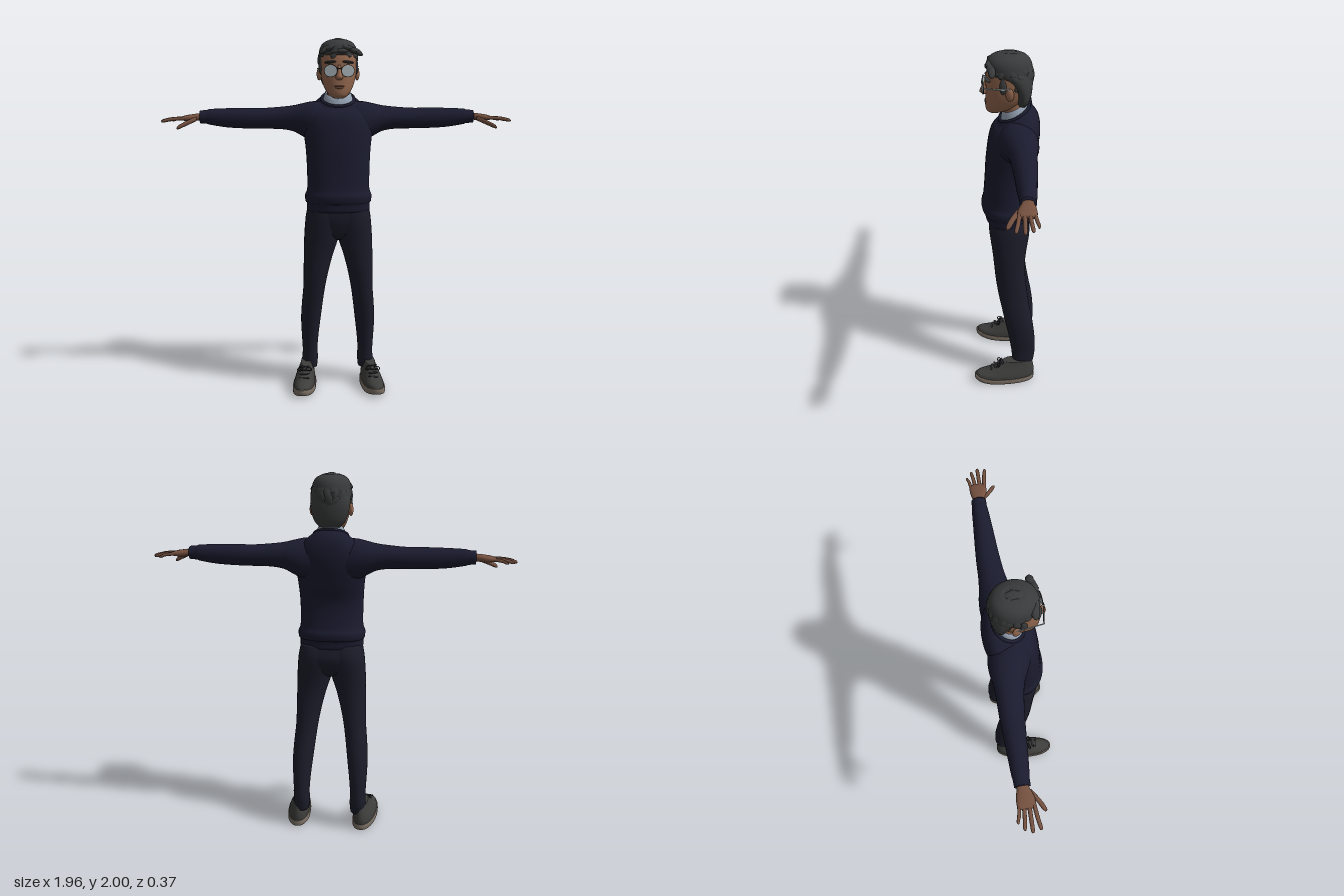
import * as THREE from 'three';

const mat = (name, color) => Object.assign(new THREE.MeshStandardMaterial({ color }), { name });

// Catmull-Rom blend of four numbers
const blend = (a, b, c, d, t) =>
  0.5 * (2 * b + (c - a) * t + (2 * a - 5 * b + 4 * c - d) * t * t + (3 * b - a - 3 * c + d) * t * t * t);

// Smooth closed body through oval cross-sections.
// key = [u, a0, a1, b0, b1, tilt]: position along the axis, bounds of the oval, slope of the ring along b
function loft(keys, map, { power = 2, sides = 28, steps = 4, caps = true } = {}) {
  const rings = [];
  const at = (i) => keys[Math.min(Math.max(i, 0), keys.length - 1)];
  for (let i = 0; i < keys.length - 1; i++) {
    for (let k = 0; k < steps; k++) {
      rings.push(at(i).map((_, j) => blend(at(i - 1)[j], at(i)[j], at(i + 1)[j], at(i + 2)[j], k / steps)));
    }
  }
  rings.push(at(keys.length - 1));
  const pos = [], index = [];
  const bulge = (v) => Math.sign(v) * Math.abs(v) ** (2 / power);
  for (const [u, a0, a1, b0, b1, tilt = 0] of rings) {
    for (let j = 0; j < sides; j++) {
      const t = (j / sides) * Math.PI * 2;
      const db = bulge(Math.sin(t)) * (b1 - b0) / 2;
      pos.push(...map(u + tilt * db, (a0 + a1) / 2 + bulge(Math.cos(t)) * (a1 - a0) / 2, (b0 + b1) / 2 + db));
    }
  }
  for (let i = 0; i < rings.length - 1; i++) {
    for (let j = 0; j < sides; j++) {
      const a = i * sides + j, b = i * sides + (j + 1) % sides;
      index.push(a, b, a + sides, b, b + sides, a + sides);
    }
  }
  if (caps) {
    [0, rings.length - 1].forEach((r, end) => {
      const [u, a0, a1, b0, b1] = rings[r], c = pos.length / 3;
      pos.push(...map(u, (a0 + a1) / 2, (b0 + b1) / 2));
      for (let j = 0; j < sides; j++) {
        const a = r * sides + j, b = r * sides + (j + 1) % sides;
        index.push(...(end ? [c, a, b] : [c, b, a]));
      }
    });
  }
  // turn the faces outwards if the axis mapping mirrored them
  const p = (i) => new THREE.Vector3().fromArray(pos, i * 3);
  const origin = p(0);
  let volume = 0;
  for (let i = 0; i < index.length; i += 3) {
    const [a, b, c] = [0, 1, 2].map((k) => p(index[i + k]).sub(origin));
    volume += a.dot(b.cross(c));
  }
  if (volume < 0) index.reverse();
  const geo = new THREE.BufferGeometry();
  geo.setAttribute('position', new THREE.Float32BufferAttribute(pos, 3));
  geo.setIndex(index);
  geo.computeVertexNormals();
  return geo;
}

export function createModel() {
  const model = new THREE.Group();
  model.name = 'standingMan';
  const sweater = mat('navySweater', 0x1a1b2e), trousers = mat('darkTrousers', 0x1c1c2a);
  const skin = mat('faceSkin', 0x92674e), handSkin = mat('handSkin', 0x74503f);
  const hair = mat('charcoalHair', 0x393a3b), shirt = mat('paleBlueShirt', 0x97a3b5);
  const lens = mat('paleLens', 0xaab5b9), shoe = mat('greyShoe', 0x3d3d3c);
  const sole = mat('taupeSole', 0x7a6f64), dark = mat('darkTrim', 0x25252a);
  shirt.side = THREE.DoubleSide;

  const add = (name, geo, material, x = 0, y = 0, z = 0, parent = model) => {
    const m = new THREE.Mesh(geo, material);
    m.name = name;
    m.position.set(x, y, z);
    parent.add(m);
    return m;
  };
  const ball = (name, material, p, size, parent = model) => {
    const m = add(name, new THREE.SphereGeometry(1, 14, 10), material, ...p, parent);
    m.scale.set(...size);
    return m;
  };
  const upright = (y, x, z) => [x, y, z];
  const sym = (rows) => rows.map(([y, w, z0, z1, tilt = 0]) => [y, -w, w, z0, z1, tilt]);

  // Sweater body, with the waistband and the blouse above it
  add('sweaterBody', loft(sym([
    [1.05, 0.168, -0.118, 0.1], [1.058, 0.176, -0.128, 0.11], [1.095, 0.177, -0.13, 0.114],
    [1.105, 0.184, -0.146, 0.126], [1.14, 0.186, -0.15, 0.132], [1.18, 0.174, -0.135, 0.122],
    [1.3, 0.175, -0.123, 0.112], [1.4, 0.181, -0.15, 0.106], [1.5, 0.192, -0.174, 0.094],
    [1.57, 0.185, -0.183, 0.08, -0.05], [1.62, 0.155, -0.175, 0.06, -0.2],
    [1.65, 0.118, -0.15, 0.042, -0.4], [1.668, 0.09, -0.122, 0.028, -0.5]]), upright, { power: 2.25, sides: 40 }), sweater);
  const neckline = [];
  for (let i = 0; i < 24; i++) {
    const t = (i / 24) * Math.PI * 2, z = Math.sin(t) * 0.076;
    neckline.push(new THREE.Vector3(Math.cos(t) * 0.09, 1.668 - z * 0.5, z - 0.047));
  }
  add('sweaterNeckband', new THREE.TubeGeometry(new THREE.CatmullRomCurve3(neckline, true), 48, 0.009, 8, true), sweater);

  // Shirt collar with two folded points
  add('shirtCollar', loft(sym([[1.66, 0.084, -0.117, 0.026, -0.5], [1.69, 0.076, -0.112, 0.02, -0.5],
    [1.707, 0.068, -0.105, 0.012, -0.5]]), upright, { caps: false }), shirt);
  const flap = new THREE.Shape([[0.004, 0.03], [0.05, 0.045], [0.054, 0.012], [0.03, -0.008]].map((q) => new THREE.Vector2(...q)));
  for (const s of [1, -1]) {
    const f = add(s > 0 ? 'leftCollarPoint' : 'rightCollarPoint', new THREE.ShapeGeometry(flap), shirt, 0, 1.642, 0.031);
    f.rotation.set(-0.35, s > 0 ? 0.45 : Math.PI - 0.45, 0, 'YXZ');
    if (s < 0) f.rotation.x = 0.35;
  }

  // Neck and head
  add('neck', loft(sym([[1.6, 0.062, -0.1, 0.005], [1.7, 0.06, -0.1, 0.01], [1.78, 0.06, -0.105, 0.02]]), upright), skin);
  add('head', loft(sym([
    [1.673, 0.024, 0.035, 0.08], [1.685, 0.045, -0.005, 0.097], [1.71, 0.066, -0.06, 0.103],
    [1.75, 0.085, -0.1, 0.102], [1.8, 0.097, -0.12, 0.1], [1.86, 0.1, -0.13, 0.1],
    [1.91, 0.096, -0.125, 0.09], [1.95, 0.078, -0.1, 0.06], [1.97, 0.04, -0.06, 0.02]]), upright, { power: 2.2 }), skin);
  add('nose', loft(sym([[1.771, 0.012, 0.085, 0.11], [1.782, 0.02, 0.085, 0.131], [1.8, 0.016, 0.085, 0.127],
    [1.825, 0.01, 0.08, 0.114], [1.85, 0.01, 0.08, 0.102]]), upright, { sides: 14 }), skin);
  ball('mouth', handSkin, [0, 1.738, 0.096], [0.031, 0.005, 0.01]);
  ball('lowerLip', skin, [0, 1.729, 0.097], [0.022, 0.006, 0.01]);

  // Hair: a cap that drops down the back, covered in overlapping locks
  const hairGroup = new THREE.Group();
  hairGroup.name = 'hair';
  model.add(hairGroup);
  add('hairCap', loft(sym([
    [1.715, 0.055, -0.113, -0.06], [1.75, 0.085, -0.13, -0.048], [1.81, 0.103, -0.139, -0.036],
    [1.86, 0.107, -0.14, 0.01], [1.895, 0.107, -0.14, 0.088], [1.94, 0.1, -0.132, 0.096],
    [1.97, 0.08, -0.11, 0.075], [1.987, 0.045, -0.075, 0.035]]), upright), hair, 0, 0, 0, hairGroup);
  let seed = 11;
  const rand = () => (seed = (seed * 16807) % 2147483647) / 2147483647;
  const lock = (polar, turn, size) => {
    const n = new THREE.Vector3(Math.sin(polar) * Math.sin(turn), Math.cos(polar), Math.sin(polar) * Math.cos(turn));
    const m = ball('hairLock', hair, [n.x * 0.102, 1.872 + n.y * 0.113, -0.022 + n.z * 0.114], [0.02 * size, 0.011, 0.034 * size], hairGroup);
    const down = new THREE.Vector3(0, -1, -0.5).addScaledVector(n, n.y + 0.5 * n.z).normalize();
    const side = new THREE.Vector3().crossVectors(n, down);
    m.quaternion.setFromRotationMatrix(new THREE.Matrix4().makeBasis(side, n, down));
    m.rotateY((rand() - 0.5) * 1.4);
  };
  for (const [polar, count] of [[0.1, 3], [0.42, 9], [0.78, 13], [1.12, 17], [1.45, 19], [1.78, 19], [2.08, 17]]) {
    for (let i = 0; i < count; i++) {
      const turn = ((i + 0.6 * rand()) / count) * Math.PI * 2;
      const front = Math.cos(turn);
      if (polar > 1.4 && front > 0.1 || polar > 1.7 && front > -0.3) continue;
      lock(polar + (rand() - 0.5) * 0.12, turn, 0.85 + rand() * 0.35);
    }
  }
  // Swept fringe
  for (let i = 0; i < 7; i++) {
    const q = ball('fringeLock', hair, [-0.075 + i * 0.029, 1.93 + 0.012 * Math.sin(i * 1.9), 0.085 - 0.006 * Math.abs(i - 3)], [0.034, 0.015, 0.02], hairGroup);
    q.rotation.z = 0.6 - i * 0.2;
  }

  // Glasses bridge
  add('glassesBridge', new THREE.BoxGeometry(0.026, 0.005, 0.005), dark, 0, 1.832, 0.121);

  for (const s of [1, -1]) {
    const side = s > 0 ? 'left' : 'right';
    const mirrored = (y, x, z) => [s * x, y, z];

    // Ear, sideburn, brow, lens and glasses arm
    ball(side + 'Ear', skin, [s * 0.104, 1.803, -0.022], [0.013, 0.034, 0.022]).rotation.y = -s * 0.3;
    ball(side + 'Sideburn', hair, [s * 0.096, 1.842, 0.012], [0.012, 0.04, 0.018]);
    ball(side + 'Brow', hair, [s * 0.048, 1.865, 0.09], [0.034, 0.007, 0.013]).rotation.set(0, s * 0.28, -s * 0.1);
    const glass = new THREE.Group();
    glass.name = side + 'Lens';
    glass.position.set(s * 0.046, 1.819, 0.114);
    glass.rotation.y = s * 0.14;
    glass.scale.y = 0.92;
    model.add(glass);
    add('lens', new THREE.CylinderGeometry(0.034, 0.034, 0.005, 28).rotateX(Math.PI / 2), lens, 0, 0, 0, glass);
    add('rim', new THREE.TorusGeometry(0.034, 0.0022, 6, 28), dark, 0, 0, 0, glass);
    add(side + 'GlassesArm', new THREE.BoxGeometry(0.004, 0.006, 0.135), lens, s * 0.102, 1.832, 0.045).rotation.y = -s * 0.16;

    // Sleeve with cuff
    const along = (x, y, z) => [s * x, y, z];
    add(side + 'Sleeve', loft([
      [0.08, 1.42, 1.655, -0.165, 0.045], [0.14, 1.43, 1.655, -0.172, 0.045], [0.2, 1.462, 1.643, -0.17, 0.022],
      [0.25, 1.488, 1.632, -0.162, 0], [0.32, 1.5, 1.624, -0.156, -0.018], [0.42, 1.502, 1.617, -0.154, -0.03],
      [0.52, 1.504, 1.618, -0.149, -0.038], [0.62, 1.51, 1.616, -0.143, -0.045], [0.71, 1.524, 1.612, -0.138, -0.053],
      [0.73, 1.53, 1.607, -0.135, -0.056], [0.768, 1.533, 1.604, -0.133, -0.056]], along), sweater);

    // Hand
    add(side + 'Palm', loft([[0.74, 1.549, 1.59, -0.121, -0.069], [0.775, 1.549, 1.588, -0.123, -0.064],
      [0.815, 1.545, 1.583, -0.132, -0.048], [0.85, 1.547, 1.577, -0.133, -0.044],
      [0.872, 1.552, 1.569, -0.126, -0.05]], along, { power: 2.4, sides: 20 }), handSkin);
    const finger = (name, points, r) => add(side + name, loft(points.map(([x, y, z], i) => {
      const k = r * [1, 1, 0.88, 0.35][i];
      return [x, y - k, y + k, z - k, z + k];
    }), along, { sides: 12 }), handSkin);
    [['LittleFinger', 0.932, -0.137, -0.122, 0.0085], ['RingFinger', 0.965, -0.111, -0.1, 0.0095],
      ['MiddleFinger', 0.981, -0.077, -0.077, 0.01], ['IndexFinger', 0.973, -0.039, -0.055, 0.01]]
      .forEach(([name, tip, zTip, zBase, r]) => finger(name, [[0.845, 1.562, zBase],
        [(0.86 + tip) / 2, 1.558, (zBase + zTip) / 2], [tip - 0.012, 1.549, zTip], [tip, 1.546, zTip]], r));
    finger('Thumb', [[0.785, 1.56, -0.068], [0.835, 1.537, -0.03], [0.873, 1.518, -0.008], [0.886, 1.511, -0.002]], 0.013);

    // Trouser leg
    add(side + 'TrouserLeg', loft([
      [0.095, 0.122, 0.208, -0.16, -0.048], [0.15, 0.117, 0.209, -0.171, -0.04], [0.2, 0.12, 0.207, -0.175, -0.035],
      [0.3, 0.112, 0.212, -0.172, -0.02], [0.4, 0.1, 0.215, -0.16, 0], [0.5, 0.088, 0.209, -0.142, 0.02],
      [0.6, 0.074, 0.2, -0.126, 0.04], [0.7, 0.054, 0.198, -0.115, 0.055], [0.8, 0.028, 0.196, -0.111, 0.065],
      [0.88, 0.002, 0.194, -0.118, 0.074], [1, -0.02, 0.185, -0.134, 0.09], [1.07, -0.02, 0.17, -0.118, 0.09]],
      mirrored, { power: 2.2 }), trousers);

    // Shoe with a slightly raised, outward-turned toe
    const foot = (y, x, z) => [s * (x + z * 0.08), y + 1.3 * Math.max(0, z - 0.06) ** 2, z];
    add(side + 'Sole', loft([[0, 0.138, 0.256, -0.165, 0.178], [0.006, 0.131, 0.263, -0.171, 0.185],
      [0.03, 0.131, 0.263, -0.172, 0.186], [0.034, 0.136, 0.258, -0.169, 0.18]], foot, { power: 2.3, steps: 2 }), sole);
    add(side + 'ShoeUpper', loft([
      [0.03, 0.136, 0.258, -0.168, 0.18], [0.052, 0.138, 0.255, -0.171, 0.166], [0.075, 0.143, 0.246, -0.17, 0.115],
      [0.1, 0.151, 0.235, -0.166, 0.07], [0.122, 0.157, 0.227, -0.16, 0.038], [0.14, 0.162, 0.222, -0.155, 0.012]],
      foot, { power: 2.3 }), shoe);
    for (let i = 0; i < 4; i++) {
      const lace = ball(side + 'Lace', dark, [s * 0.198, 0.088 + i * 0.015, 0.084 - i * 0.021], [0.03, 0.005, 0.009]);
      lace.rotation.y = i % 2 ? 0.2 : -0.2;
    }
    for (const k of [1, -1]) {
      const bow = add(side + 'LaceBow', new THREE.TorusGeometry(0.016, 0.003, 6, 14), dark, s * 0.198 + k * 0.026, 0.124, 0.04);
      bow.rotation.set(-0.9, 0, -k * 0.4);
      bow.scale.y = 0.6;
    }
  }

  // Hips joining the two legs
  add('trouserSeat', loft(sym([[0.885, 0.06, -0.075, 0.03], [0.91, 0.13, -0.108, 0.06], [0.96, 0.18, -0.13, 0.08],
    [1.01, 0.184, -0.136, 0.092], [1.07, 0.172, -0.12, 0.095]]), upright, { power: 2.3 }), trousers);
  return model;
}
